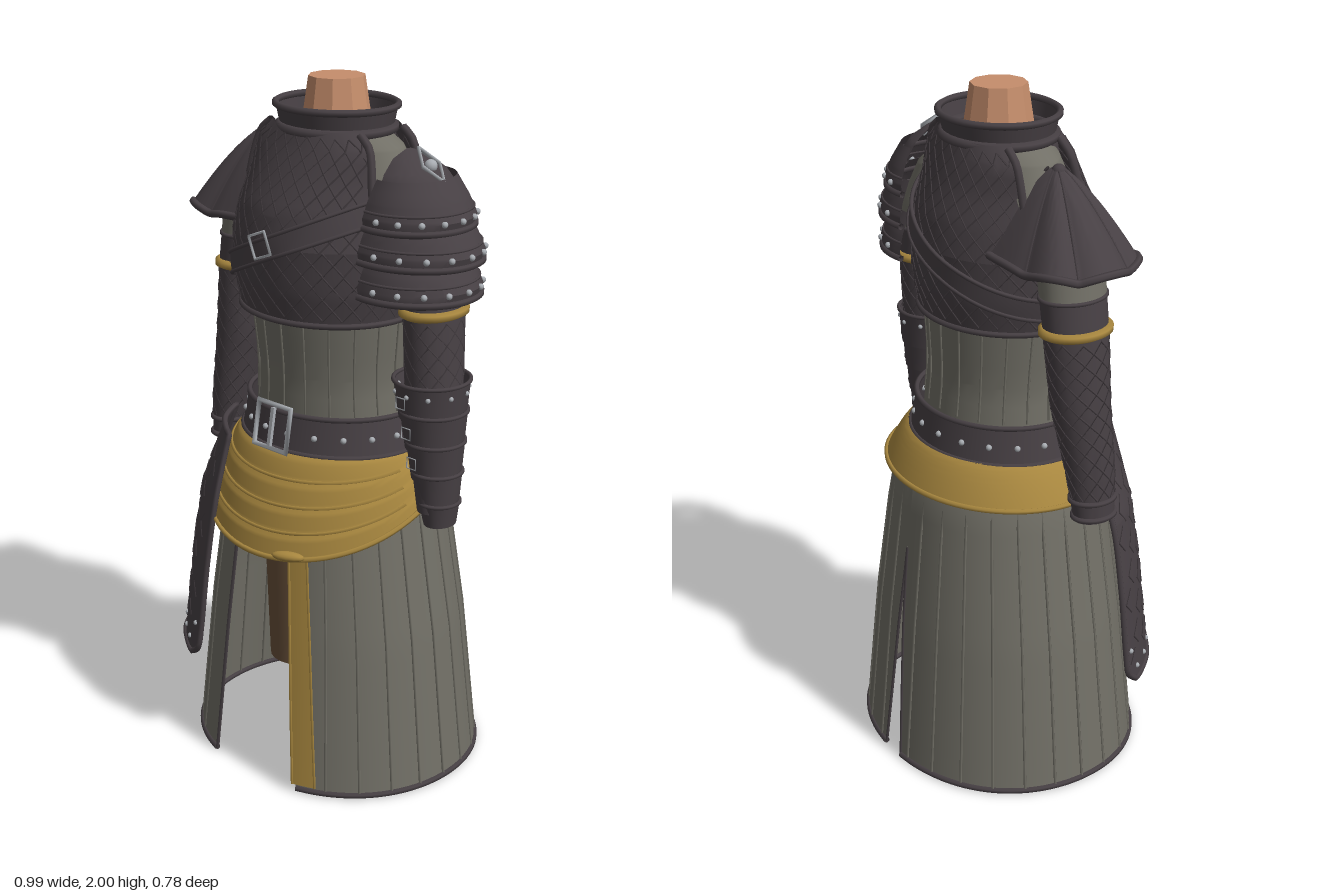
import * as THREE from 'three';
import { mergeGeometries, toCreasedNormals } from 'three/addons/utils/BufferGeometryUtils.js';

const PI = Math.PI, V = (x, y, z) => new THREE.Vector3(x, y, z);
const lerp = THREE.MathUtils.lerp;
const mat = (name, color) => {
  const m = new THREE.MeshStandardMaterial({ color, side: THREE.DoubleSide });
  m.name = name;
  return m;
};

// Elliptical surface through rings [y, rx, rz, cx, cz], lowest first; angle 0 is the front, PI/2 is +x.
// square swells the diagonals a little
function rings(list, square = 0) {
  const fn = (a, y) => {
    let i = 0;
    while (i < list.length - 2 && y > list[i + 1][0]) i++;
    const p = list[i], q = list[i + 1], t = (y - p[0]) / (q[0] - p[0]), k = 1 + square * Math.sin(2 * a) ** 2;
    const [rx, rz, cx, cz] = [1, 2, 3, 4].map(n => lerp(p[n] || 0, q[n] || 0, t));
    return V(cx + k * rx * Math.sin(a), y, cz + k * rz * Math.cos(a));
  };
  fn.ys = list.map(r => r[0]);
  return fn;
}

export function createModel() {
  const root = new THREE.Group();
  const leather = mat('dark leather', 0x474044), cloth = mat('grey cloth', 0x716f66), gold = mat('gold cloth', 0xa8873f);
  const skin = mat('skin', 0xc68e6c), brown = mat('brown trousers', 0x68503a), silver = mat('silver metal', 0xa9adb2);

  const add = (name, geo, m) => {
    const mesh = new THREE.Mesh(geo, m);
    mesh.name = name;
    root.add(mesh);
    return mesh;
  };
  // Patch of a surface; the angle limits may depend on height
  function shell(name, fn, m, a0, a1, v0, v1, n = 40, rows = 8) {
    const vs = [...Array(rows + 1).keys()].map(i => lerp(v0, v1, i / rows))
      .concat((fn.ys || []).filter(y => y > v0 && y < v1)).sort((p, q) => p - q)
      .filter((v, i, s) => !i || v - s[i - 1] > 1e-4);
    const at = (a, v) => typeof a === 'function' ? a(v) : a;
    const pos = [], idx = [];
    vs.forEach((v, j) => {
      for (let i = 0; i <= n; i++) pos.push(...fn(lerp(at(a0, v), at(a1, v), i / n), v).toArray());
      for (let i = 0; i < n && j < vs.length - 1; i++) {
        const k = j * (n + 1) + i, u = k + n + 1;
        idx.push(k, k + 1, u + 1, k, u + 1, u);
      }
    });
    const g = new THREE.BufferGeometry();
    g.setAttribute('position', new THREE.Float32BufferAttribute(pos, 3));
    g.setIndex(idx);
    return add(name, toCreasedNormals(g, 0.7), m);
  }
  // Raised cords that follow a surface through [angle, height] points
  const cord = (fn, pts, r, seg, sides = 4, closed = false) => new THREE.TubeGeometry(
    new THREE.CatmullRomCurve3(pts.map(p => fn(...p)), closed), seg, r, sides, closed);
  const hoop = (name, fn, v, r, m, n = 24) =>
    add(name, cord(fn, [...Array(n).keys()].map(i => [i * 2 * PI / n, v]), r, n * 2, 6, true), m);
  const run = (p, q, n) => [...Array(n + 1).keys()].map(i => [lerp(p[0], q[0], i / n), lerp(p[1], q[1], i / n)]);
  // Crossed stitching over a patch
  function quilt(name, fn, m, a0, a1, v0, v1, na, nv, keep = () => true) {
    const out = [], da = (a1 - a0) / na, dv = (v1 - v0) / nv;
    for (let i = 0; i < na; i++) for (let j = 0; j < nv; j++) for (let k = 0; k < 2; k++) {
      if (!keep(i, j, k)) continue;
      const a = a0 + i * da, v = v0 + j * dv;
      out.push(cord(fn, run([a + k * da, v], [a + da - k * da, v + dv], 2), 0.003, 2, 3));
    }
    add(name, mergeGeometries(out), m);
  }
  const studs = (name, fn, list, r = 0.008) => add(name, mergeGeometries(list.map(p =>
    new THREE.SphereGeometry(r, 8, 6).translate(...fn(...p).toArray()))), silver);
  const frame = (name, size, p, tilt) => {
    const b = add(name, new THREE.TorusGeometry(size, size * 0.11, 4, 4).rotateZ(PI / 4 + tilt), silver);
    b.position.copy(p);
    return b;
  };

  // Neck and legs
  const neck = add('neck', new THREE.CylinderGeometry(0.078, 0.115, 0.24, 10).toNonIndexed(), skin);
  neck.geometry.computeVertexNormals();
  neck.position.y = 1.88;
  for (const s of [1, -1]) shell('trouserLeg', rings([[0.199, 0.001, 0.001, s * 0.15], [0.2, 0.095, 0.1, s * 0.15],
    [0.72, 0.122, 0.13, s * 0.13]]), brown, -PI, PI, 0.199, 0.72, 24);
  shell('trouserHips', rings([[0.67, 0.001, 0.001], [0.7, 0.2, 0.11], [0.95, 0.22, 0.18]]), brown, -PI, PI, 0.67, 0.95);

  // Shirt
  const shirt = rings([[0.98, 0.245, 0.215], [1.2, 0.23, 0.2, 0, 0.01], [1.38, 0.25, 0.21, 0, 0.015],
    [1.6, 0.27, 0.21, 0, 0.015], [1.75, 0.27, 0.15], [1.83, 0.22, 0.125], [1.88, 0.12, 0.11]]);
  shell('shirt', shirt, cloth, -PI, PI, 0.98, 1.88, 56, 16);
  add('shirtSeams', mergeGeometries([...Array(20).keys()].map(i =>
    cord(shirt, run([i * PI / 10, 1.1], [i * PI / 10, 1.38], 4), 0.004, 4, 4))), cloth);

  // Chest armour: closed lower part, then front and back panels leaving the armholes free
  const chest = rings([[1.37, 0.262, 0.238, 0, 0.024], [1.47, 0.283, 0.252, 0, 0.024], [1.58, 0.285, 0.255, 0, 0.024],
    [1.66, 0.268, 0.24, 0, 0.02], [1.75, 0.25, 0.2, 0, 0.012], [1.83, 0.248, 0.168, 0, 0.003], [1.875, 0.19, 0.152]]);
  const hole = y => 1.26 - 0.85 * (y - 1.56);
  shell('chestLower', chest, leather, -PI, PI, 1.37, 1.58, 56, 6);
  quilt('chestStitching', chest, leather, -PI, PI, 1.39, 1.58, 30, 3);
  hoop('chestHem', chest, 1.375, 0.009, leather, 32);
  for (const c of [0, PI]) {
    shell('chestPanel', chest, leather, y => c - hole(y), y => c + hole(y), 1.58, 1.875, 30, 8);
    quilt('panelStitching', chest, leather, c - 1, c + 1, 1.58, 1.86, 10, 5);
    for (const s of [1, -1]) add('armholeTrim', cord(chest, [1.56, 1.64, 1.72, 1.79, 1.84, 1.87]
      .map(y => [c + s * hole(y), y]), 0.012, 16, 6), leather);
  }
  // Diagonal strap with buckle
  const strap = (a, w) => {
    const p = chest(a, 1.57 + 0.125 * Math.sin(a) + w);
    return V(p.x * 1.04, p.y, p.z * 1.04);
  };
  shell('chestStrap', strap, leather, -PI, PI, -0.03, 0.03, 56, 2);
  for (const w of [-0.03, 0.03]) hoop('strapEdge', strap, w, 0.006, leather, 32);
  frame('strapBuckle', 0.045, V(0, 1.585, 0.296), 0.38);

  // Collar
  const collar = rings([[1.8, 0.175, 0.16], [1.87, 0.162, 0.148], [1.93, 0.174, 0.16]]);
  shell('collar', collar, leather, -PI, PI, 1.8, 1.93);
  hoop('collarRim', collar, 1.925, 0.01, leather);
  hoop('collarBase', collar, 1.865, 0.014, leather);

  // Arms
  for (const s of [1, -1]) {
    const arm = rings([[0.868, 0.001, 0.001, s * 0.414, 0.035], [0.87, 0.047, 0.062, s * 0.414, 0.035],
      [1.0, 0.06, 0.07, s * 0.4, 0.03], [1.2, 0.074, 0.085, s * 0.375, 0.01], [1.42, 0.073, 0.095, s * 0.36, 0],
      [1.6, 0.076, 0.098, s * 0.33, 0], [1.72, 0.06, 0.075, s * 0.28, 0], [1.78, 0.03, 0.04, s * 0.24, 0]]);
    shell('sleeve', arm, leather, -PI, PI, 0.868, 1.51, 28, 10);
    shell('upperArm', arm, cloth, -PI, PI, 1.51, 1.78, 28, 8);
    hoop('sleeveHem', arm, 1.51, 0.006, leather);
    quilt('sleeveStitching', arm, leather, -PI, PI, s > 0 ? 1.22 : 0.94, 1.4, 10, s > 0 ? 3 : 8);
    hoop('armBand', arm, 1.42, 0.014, gold);
    if (s < 0) for (const y of [0.88, 0.93]) hoop('cuffTrim', arm, y, 0.008, leather);
  }

  // Banded bracer on the left forearm
  for (let i = 0; i < 5; i++) {
    const y = 1.235 - 0.085 * i, rx = 0.103 - 0.012 * i, cx = 0.375 + 0.012 * i, cz = 0.02 + 0.004 * i;
    const end = i === 4 ? 0.83 : y - 0.105;
    const band = rings([[end, rx - 0.014, rx - 0.005, cx + 0.005, cz], [y, rx, rx + 0.004, cx, cz]]);
    shell('bracerBand', band, leather, -PI, PI, end, y, 28, 2);
    hoop('bracerEdge', band, y, 0.006, leather);
    if (!i) studs('bracerStuds', band, [...Array(10).keys()].map(k => [k * PI / 5, y - 0.03]), 0.007);
    if (i < 3) frame('bracerBuckle', 0.022, band(-0.2, y - 0.05).add(V(0, 0, 0.008)), 0);
  }

  // Fluted shell pauldron on the right shoulder
  const fan = (t, s) => {
    const lobe = Math.abs(Math.cos(t * 3.5)), c = Math.cos(t), d = Math.sin(t), r = s * (0.94 + 0.06 * lobe);
    return V(-0.25 - 0.24 * r * Math.sign(c) * Math.abs(c) ** 0.65,
      1.835 - 0.245 * s ** 1.4 + 0.016 * s * lobe, 0.01 - 0.172 * r * Math.sign(d) * Math.abs(d) ** 0.85);
  };
  shell('shellPauldron', fan, leather, -1.7, 1.7, 0.03, 1, 56, 12);
  add('shellRim', cord(fan, run([-1.7, 1], [1.7, 1], 42), 0.011, 84, 6), leather);
  add('shellRibs', mergeGeometries([-3, -2, -1, 0, 1, 2].map(k => {
    const t = (k + 0.5) * PI / 3.5;
    return cord(fan, run([t, 0.1], [t, 1], 5), 0.005, 8, 4);
  })), leather);
  add('shellBoss', new THREE.SphereGeometry(0.02, 12, 8).translate(-0.26, 1.82, 0.01), leather);

  // Layered pauldron on the left shoulder
  [[1.465, 0.198, 0.178], [1.56, 0.205, 0.176], [1.65, 0.172, 0.165]].forEach(([y, rx, rz]) => {
    const tier = rings([[y, rx - 0.006, rz - 0.004, 0.28], [y + 0.025, rx, rz, 0.28], [y + 0.07, rx - 0.025, rz - 0.015, 0.28],
      [y + 0.125, rx - 0.065, rz - 0.042, 0.28]]);
    shell('pauldronTier', tier, leather, -0.2, PI + 0.2, y, y + 0.125, 32, 4);
    for (const v of [y, y + 0.045]) add('tierRim', cord(tier, run([-0.2, v], [PI + 0.2, v], 20), v > y ? 0.004 : 0.01, 40, 6), leather);
    studs('tierStuds', tier, [...Array(9).keys()].map(i => [0.1 + i * (PI - 0.2) / 8, y + 0.025]), 0.009);
  });
  const cap = rings([[1.735, 0.135, 0.13, 0.27], [1.785, 0.1, 0.1, 0.265], [1.82, 0.055, 0.06, 0.26], [1.84, 0.005, 0.005, 0.26]]);
  shell('pauldronCap', cap, leather, 0, PI, 1.735, 1.84, 32, 6);
  add('capRim', cord(cap, run([0, 1.737], [PI, 1.737], 20), 0.009, 40, 6), leather);
  const gem = add('diamondOrnament', new THREE.TorusGeometry(0.06, 0.007, 4, 4).scale(0.55, 1, 1), silver);
  gem.position.set(0.34, 1.805, 0);
  gem.lookAt(0.94, 2.5, 0);
  add('ornamentBead', new THREE.SphereGeometry(0.018, 12, 8).translate(0.338, 1.803, 0), silver);

  // Belt
  const belt = rings([[0.99, 0.285, 0.25, 0, 0.005], [1.105, 0.262, 0.23, 0, 0.005]]);
  shell('belt', belt, leather, -PI, PI, 0.99, 1.105, 56, 2);
  for (const y of [0.995, 1.1]) hoop('beltEdge', belt, y, 0.008, leather, 32);
  studs('beltStuds', belt, [...Array(20).keys()].map(i => [(i + 0.5) * PI / 10, 1.045]), 0.009);
  frame('beltBuckle', 0.088, V(0, 1.06, 0.258), 0).rotation.x = -0.18;
  add('bucklePin', new THREE.BoxGeometry(0.012, 0.11, 0.01).rotateX(-0.18).translate(0, 1.06, 0.262), silver);

  // Draped sash, deepest at the front and slightly to the left, with a small knot
  const sash = (a, t) => {
    const f = Math.max(0, Math.cos(a - 0.12 * (1 + Math.cos(a)))) ** 0.85, k = (1 - t) ** 0.75, fold = 0.01 * f * ((t * 4) % 1);
    return V((0.283 + 0.078 * k + fold) * Math.sin(a), lerp(0.895 - 0.168 * f, 1.0, t),
      (0.252 + (Math.cos(a) > 0 ? 0.125 : 0.062) * k + fold) * Math.cos(a));
  };
  shell('sash', sash, gold, -PI, PI, 0, 1, 60, 24);
  hoop('sashHem', sash, 0, 0.008, gold, 40);
  for (const t of [0.25, 0.5, 0.75]) add('sashFold', cord(sash, run([-1.35, t], [1.35, t], 24), 0.006, 32, 4), gold);
  add('sashKnot', new THREE.SphereGeometry(0.035, 12, 8).scale(1.4, 0.4, 0.5).rotateY(0.45).translate(0.155, 0.745, 0.355), gold);

  // Skirt: two halves with an open front and a tapering back slit
  const skirt = rings([[0, 0.436, 0.385, 0, -0.003], [0.45, 0.385, 0.343, 0, -0.003], [0.88, 0.315, 0.295], [1, 0.27, 0.24]], 0.02);
  const leftEdge = y => 0.41 - 0.11 * y, rightEdge = y => -0.355 + 0.055 * y, slit = y => 0.095 * Math.max(0, 1 - y / 0.66);
  for (const s of [1, -1]) {
    const lo = y => s > 0 ? leftEdge(y) : -PI + slit(y), hi = y => s > 0 ? PI - slit(y) : rightEdge(y);
    shell('skirtHalf', skirt, cloth, lo, hi, 0, 1, 40, 10);
    add('skirtHem', cord(skirt, run([lo(0), 0.009], [hi(0), 0.009], 24), 0.009, 48, 6), leather);
    const edge = f => [...Array(9).keys()].map(i => [f(i * 0.085), 0.006 + i * 0.085]);
    add('skirtBackEdge', cord(skirt, edge(s > 0 ? hi : lo), 0.005, 16, 4), leather);
    if (s < 0) add('skirtFrontEdge', cord(skirt, edge(hi), 0.007, 16, 4), leather);
    add('skirtSeams', mergeGeometries([...Array(11).keys()].map(i => {
      const a = s * (0.62 + i * 0.235);
      return cord(skirt, run([a, 0.01], [a, 0.9], 6), 0.005, 6, 4);
    })), cloth);
  }
  const strip = (a, y) => skirt(a, y).multiply(V(1.02, 1, 1.02));
  shell('goldStrip', strip, gold, y => leftEdge(y) - 0.02, y => leftEdge(y) + 0.14, 0.025, 0.88, 5, 10);
  for (const d of [-0.02, 0.14]) add('stripEdge', cord(strip, run([leftEdge(0.025) + d, 0.025], [leftEdge(0.88) + d, 0.88], 6), 0.005, 12, 4), gold);

  // Studded leather flap over the right hip, rounded at the bottom corners
  const flapRings = rings([[0.3, 0.5, 0.42], [0.6, 0.463, 0.39], [0.8, 0.425, 0.365], [1, 0.335, 0.315]]);
  const cut = y => 0.12 * Math.max(0, 1 - (y - 0.3) / 0.06) ** 2;
  const fl = y => -1.25 + cut(y), fr = y => (y > 0.8 ? -0.38 - 0.5 * (y - 0.8) : -0.41 + 0.06 * (y - 0.3)) - cut(y);
  shell('hipFlap', flapRings, leather, fl, fr, 0.3, 1, 16, 24);
  const rimPts = [1, 0.98, 0.9, 0.8, 0.6, 0.4, 0.34, 0.31, 0.3].map(y => [fl(y), y]);
  const rim = rimPts.concat([[-0.85, 0.3]], [...rimPts].reverse().map(([, y]) => [fr(y), y]), [[-0.55, 1], [-0.9, 1], [-1.2, 1]]);
  add('flapRim', cord(flapRings, rim, 0.009, 120, 6, true), leather);
  quilt('flapStitching', flapRings, leather, -1.2, -0.54, 0.36, 0.94, 8, 15, (i, j, k) => (i + j * 2 + k * 2) % 5 === 0);
  studs('flapStuds', flapRings, [-1.1, -0.93, -0.76, -0.6].map(a => [a, 0.335]).concat([[-1.18, 0.4], [-0.5, 0.4]]));

  return root;
}
